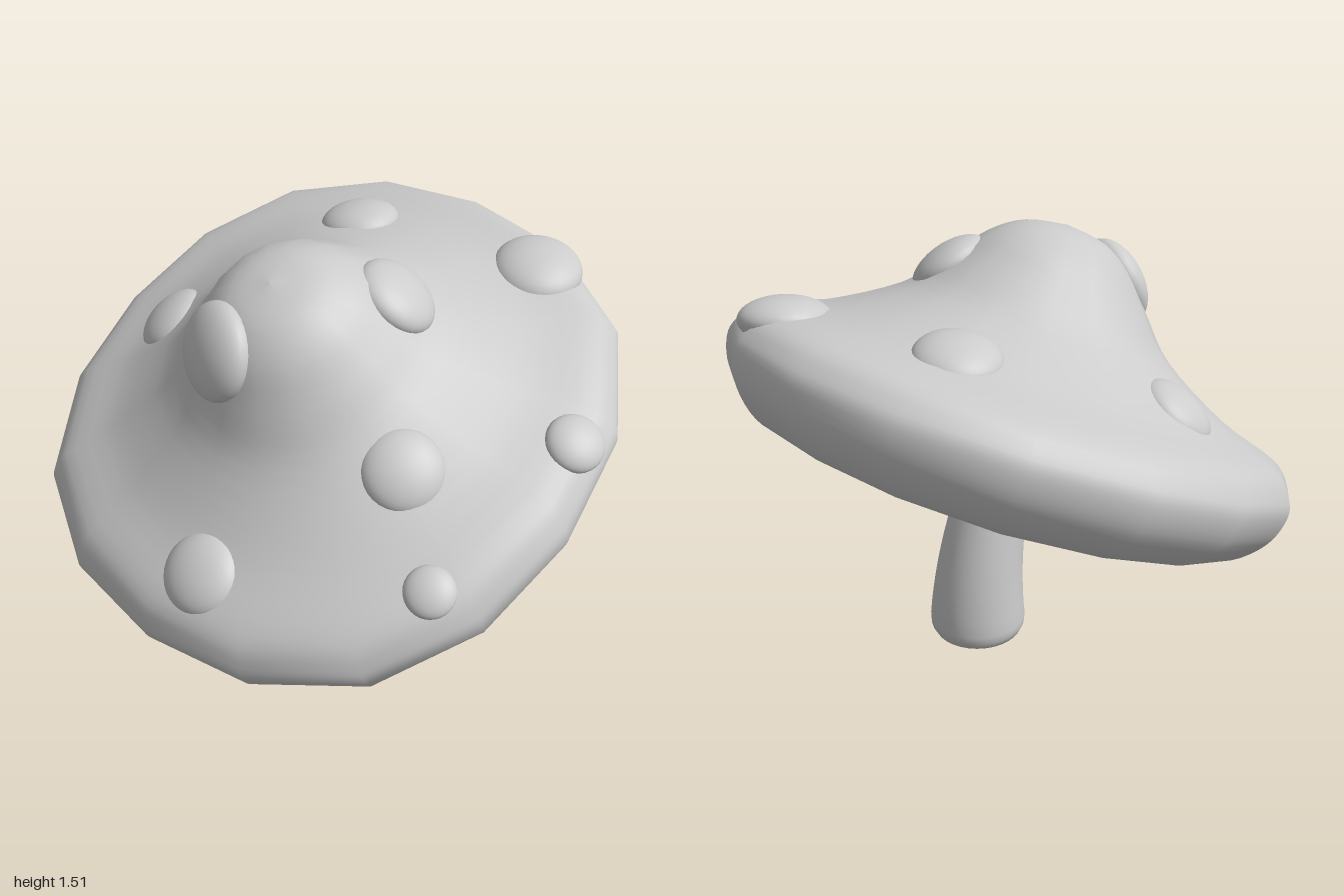
import * as THREE from 'three';

const grey = new THREE.MeshStandardMaterial({ color: 0xcccccc });
const TILT = THREE.MathUtils.degToRad(24.5);
const v2 = (p) => new THREE.Vector2(p[0], p[1]);

// Cap profile, split into the underside with its rolled lip and the bell-shaped top
const under = [[0, 0.185], [0.26, 0.14], [0.45, 0.04], [0.58, -0.075], [0.68, -0.165], [0.78, -0.208], [0.88, -0.18], [0.97, -0.09]];
const upper = [[1.005, 0.01], [0.99, 0.08], [0.92, 0.155], [0.71, 0.235], [0.475, 0.375], [0.35, 0.513], [0.25, 0.635], [0.14, 0.708], [0, 0.733]];

// The top leans slightly towards the raised side
const lean = (h) => 0.024 * THREE.MathUtils.smoothstep(h, 0.06, 0.22);

// The outline is a circle swelling a little on the diagonals
const swell = (x, z) => 1 + 0.04 * Math.sin(2 * Math.atan2(z, x)) ** 2;

function makeCap() {
  const profile = new THREE.SplineCurve([...under, ...upper].map(v2)).getPoints(64);
  profile[0].x = profile[64].x = 0;
  const geo = new THREE.LatheGeometry(profile, 16);
  const pos = geo.attributes.position;
  for (let i = 0; i < pos.count; i++) {
    const x = pos.getX(i), z = pos.getZ(i), s = swell(x, z);
    pos.setX(i, x * s + lean(pos.getY(i)));
    pos.setZ(i, z * s);
  }
  const mesh = new THREE.Mesh(geo, grey);
  mesh.name = 'cap';
  return mesh;
}

// Flattened ball sunk into the top of the cap at (x, z), turned to the local slope
const topCurve = new THREE.SplineCurve(upper.map(v2));
function makeSpot(x, z, radius) {
  const r = Math.hypot(x, z);
  let lo = 0, hi = 1;
  for (let i = 0; i < 30; i++) {
    const mid = (lo + hi) / 2;
    if (topCurve.getPoint(mid).x * swell(x, z) > r) lo = mid; else hi = mid;
  }
  const h = topCurve.getPoint(lo).y;
  const t = topCurve.getTangent(lo);
  const normal = new THREE.Vector3(t.y * x / r, -t.x, t.y * z / r).normalize();
  const mesh = new THREE.Mesh(new THREE.SphereGeometry(1, 32, 20), grey);
  mesh.scale.set(radius, radius * 0.5, radius);
  mesh.quaternion.setFromUnitVectors(new THREE.Vector3(0, 1, 0), normal);
  mesh.position.set(x + lean(h), h, z).addScaledVector(normal, -0.18 * radius);
  mesh.name = 'spot';
  return mesh;
}

// Tapered stem: a turned shape bent along a curve
function makeStem() {
  const path = new THREE.CatmullRomCurve3(
    [[0.17, 0], [0.168, 0.15], [0.148, 0.32], [0.105, 0.5], [0.05, 0.64], [-0.035, 0.8], [-0.135, 0.95], [-0.19, 1.03]]
      .map(([x, y]) => new THREE.Vector3(x, y, 0)));
  const profile = [[0, 0.004], [0.1, 0.004], [0.135, 0.008], [0.16, 0.022], [0.173, 0.045], [0.175, 0.07]];
  for (let i = 1; i <= 20; i++) {
    const t = 0.07 + 0.93 * i / 20;
    profile.push([0.175 - 0.093 * (t - 0.07) / 0.93, t]);
  }
  profile.push([0, 1]);
  const geo = new THREE.LatheGeometry(profile.map(v2), 32);
  const pos = geo.attributes.position;
  for (let i = 0; i < pos.count; i++) {
    const t = pos.getY(i), x = pos.getX(i);
    const p = path.getPointAt(t), d = path.getTangentAt(t);
    pos.setXY(i, p.x + d.y * x, Math.max(0, p.y - d.x * x));
  }
  geo.computeVertexNormals();
  const mesh = new THREE.Mesh(geo, grey);
  mesh.name = 'stem';
  return mesh;
}

export function createModel() {
  const model = new THREE.Group();
  model.name = 'mushroom';

  const head = new THREE.Group();
  head.name = 'spottedCap';
  head.add(makeCap());
  const spots = [
    [-0.075, -0.635, 0.138], [0.63, -0.275, 0.145], [-0.255, -0.1, 0.165], [-0.79, 0.12, 0.14], [0.28, 0.25, 0.148],
    [0.765, 0.41, 0.158], [-0.19, 0.55, 0.137], [-0.44, 0.8, 0.085], [0.235, 0.9, 0.1],
  ];
  spots.forEach(([x, z, r]) => head.add(makeSpot(x, z, r)));
  head.rotation.z = TILT;
  head.position.set(0, 0.8, 0);

  model.add(head, makeStem());
  return model;
}
